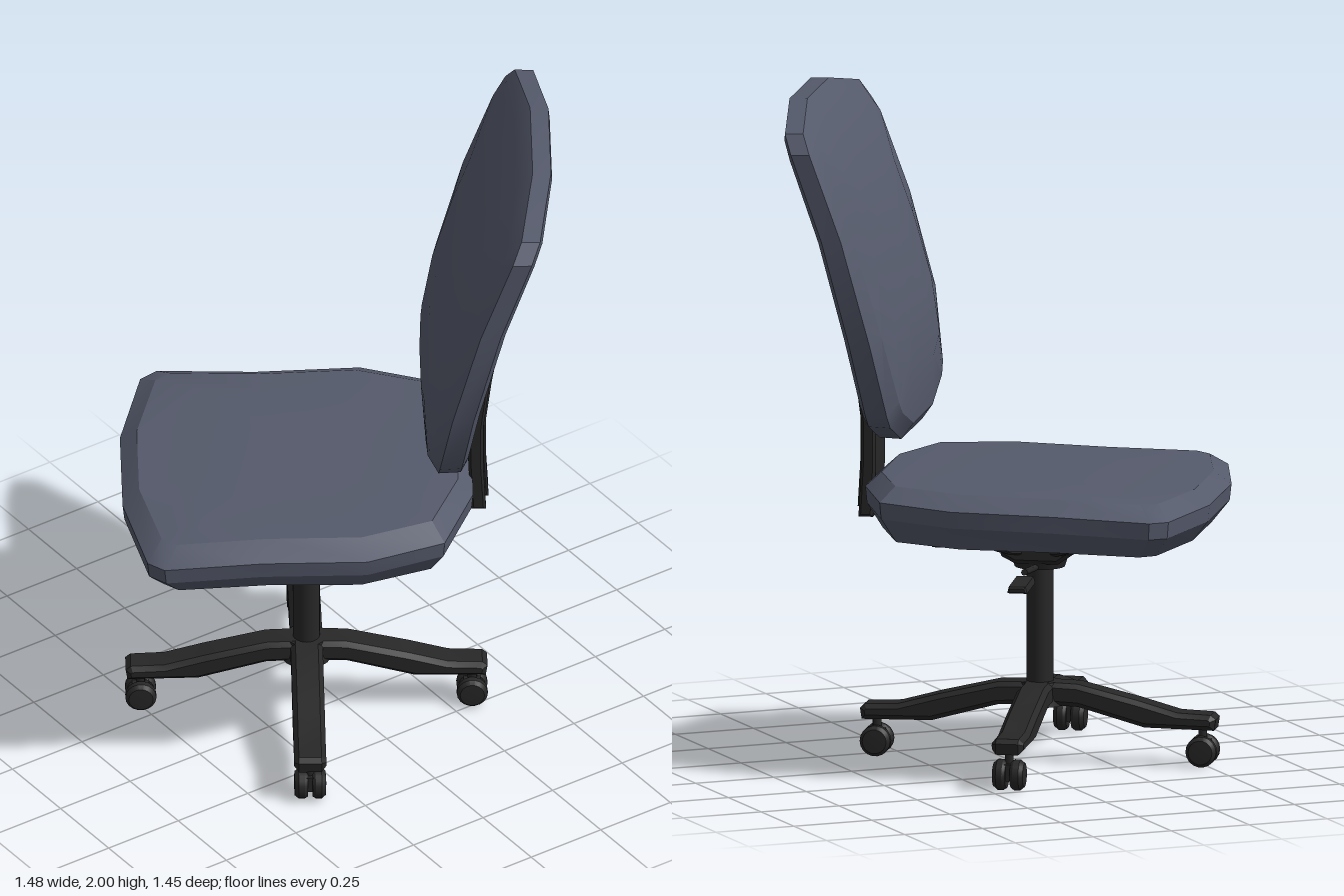
import * as THREE from 'three';
import { toCreasedNormals } from 'three/addons/utils/BufferGeometryUtils.js';

const fabric = new THREE.MeshStandardMaterial({ color: 0x555a6b });
const plastic = new THREE.MeshStandardMaterial({ color: 0x272727 });

function add(parent, name, geometry, material, x = 0, y = 0, z = 0) {
  const mesh = new THREE.Mesh(geometry, material);
  mesh.name = name;
  mesh.position.set(x, y, z);
  parent.add(mesh);
  return mesh;
}

// Padded cushion: a mirrored outline scaled into rings [scaleU, scaleV, height],
// from the centre of one face, over the rim, to the centre of the other.
function cushion(half, rings, place) {
  const outline = [...half, ...half.map(([u, v]) => [-u, v]).reverse()];
  const n = outline.length, pos = [], index = [];
  for (const [su, sv, h] of rings)
    for (const [u, v] of outline) pos.push(...place(u * su, v * sv, h));
  for (let r = 0; r < rings.length - 1; r++)
    for (let i = 0; i < n; i++) {
      const j = (i + 1) % n;
      const a = r * n + i, b = r * n + j, c = a + n, d = b + n;
      if (rings[r + 1][0] > 0) index.push(a, c, d);
      if (rings[r][0] > 0) index.push(a, d, b);
    }
  const g = new THREE.BufferGeometry();
  g.setAttribute('position', new THREE.Float32BufferAttribute(pos, 3));
  g.setIndex(index);
  return toCreasedNormals(g, 0.45);
}

// Side profile given as [z, y], extruded to a width centred on x = 0.
function slab(points, width, bevel) {
  const shape = new THREE.Shape(points.map(([z, y]) => new THREE.Vector2(z, y)));
  const g = new THREE.ExtrudeGeometry(shape, {
    depth: width - 2 * bevel, bevelSize: bevel, bevelThickness: bevel,
    bevelOffset: -bevel, bevelSegments: 1,
  });
  g.translate(0, 0, -width / 2 + bevel);
  g.rotateY(-Math.PI / 2);
  return toCreasedNormals(g, 0.4);
}

// Closed band around a centre line [z, y].
function band(line, front, back) {
  return [...line.map(([z, y]) => [z + front, y]),
    ...line.map(([z, y]) => [z - back, y]).reverse()];
}

export function createModel() {
  const model = new THREE.Group();
  model.name = 'officeChair';
  const chair = new THREE.Group();
  chair.name = 'chair';
  chair.position.set(-0.085, 0, -0.045);
  chair.rotation.y = THREE.MathUtils.degToRad(-123.4);
  model.add(chair);

  // Seat, slightly raised to the rear
  const seatOutline = [[0.176, -0.547], [0.48, -0.48], [0.52, -0.43], [0.5, -0.14],
    [0.507, 0.17], [0.42, 0.4], [0.17, 0.49]];
  add(chair, 'seat', cushion(seatOutline, [
    [0, 0, 0.883], [0.35, 0.35, 0.882], [0.65, 0.68, 0.88], [0.86, 0.91, 0.873],
    [1, 1, 0.832], [0.99, 0.99, 0.782], [0.88, 0.9, 0.712], [0.5, 0.5, 0.7], [0, 0, 0.7],
  ], (u, v, h) => [u, h + 0.02 * v * (h > 0.75 ? 1 : 0.3), -v]), fabric, -0.018);

  // Backrest: leans back, sides wrap forward, fuller in the lower front
  const mid = 1.5;
  const backOutline = [[0.17, -0.515], [0.35, -0.45], [0.39, -0.41], [0.48, -0.18],
    [0.495, 0.13], [0.495, 0.39], [0.45, 0.445], [0.17, 0.5]];
  add(chair, 'backrest', cushion(backOutline, [
    [0, 0, 0.11], [0.3, 0.3, 0.109], [0.6, 0.6, 0.1], [0.9, 0.91, 0.062],
    [1, 1, 0.027], [0.995, 0.995, -0.035], [0.93, 0.94, -0.05], [0.6, 0.6, -0.052],
    [0.3, 0.3, -0.052], [0, 0, -0.052],
  ], (u, v, h) => {
    const t = v + mid - 0.985;
    const lean = -0.395 - 0.1 * t - 0.165 * t * t;
    const wrap = -0.022 * (1 - (u / 0.5) ** 2);
    const fullness = h > 0 ? 1.15 - 0.4 * t : 1;
    return [u, v + mid, lean + wrap + h * fullness];
  }), fabric, -0.008);

  // Back post with a raised panel on its rear
  const postLine = [[-0.51, 0.73], [-0.502, 0.88], [-0.502, 1.02], [-0.52, 1.17],
    [-0.545, 1.32], [-0.572, 1.45], [-0.595, 1.56]];
  add(chair, 'backPost', slab(band(postLine, 0.024, 0.02), 0.165, 0.008), plastic, -0.01);
  const panelLine = postLine.map(([z, y]) => [z, 0.755 + (y - 0.73) * 0.94]);
  add(chair, 'backPostPanel', slab(band(panelLine, 0, 0.028), 0.1, 0.006), plastic, -0.01);

  // Seat mechanism: housing, hub and four splayed arms with pads
  add(chair, 'mechanismHousing', slab([[-0.13, 0.705], [-0.1, 0.625], [-0.06, 0.605],
    [0.07, 0.605], [0.12, 0.64], [0.15, 0.705]], 0.19, 0.012), plastic);
  add(chair, 'mechanismHub', new THREE.CylinderGeometry(0.085, 0.075, 0.03, 20), plastic, 0, 0.6, 0);
  for (const x of [-1, 1]) for (const z of [0.26, -0.22]) {
    const length = Math.hypot(0.25, z);
    const arm = add(chair, 'mechanismArm', slab([[0.04, 0.625], [0.13, 0.635], [length - 0.05, 0.69],
      [length + 0.03, 0.69], [length + 0.03, 0.712], [length - 0.08, 0.712], [0.04, 0.67]], 0.07, 0.006), plastic);
    arm.rotation.y = Math.atan2(x * 0.25, z);
    add(chair, 'mechanismPad', new THREE.BoxGeometry(0.09, 0.024, 0.1), plastic, x * 0.25, 0.697, z);
  }

  // Height lever on one side
  const rod = add(chair, 'leverRod', new THREE.CylinderGeometry(0.01, 0.01, 0.2, 8), plastic, -0.15, 0.6, 0);
  rod.rotation.z = Math.PI / 2 - 0.1;
  const paddle = add(chair, 'leverPaddle', slab([[-0.03, -0.008], [0.03, -0.008],
    [0.025, 0.012], [-0.025, 0.012]], 0.14, 0.005), plastic, -0.3, 0.58, 0);
  paddle.rotation.z = 0.07;

  // Gas column
  add(chair, 'column', new THREE.CylinderGeometry(0.04, 0.04, 0.42, 24), plastic, 0, 0.4, 0);

  // Four-armed base with twin-wheel castors
  add(chair, 'baseHub', new THREE.CylinderGeometry(0.06, 0.075, 0.07, 20), plastic, 0, 0.205, 0);
  for (let i = 0; i < 4; i++) {
    const leg = new THREE.Group();
    leg.name = 'baseLeg';
    leg.rotation.y = i * Math.PI / 2;
    chair.add(leg);
    add(leg, 'legArm', slab([[0, 0.175], [0.12, 0.17], [0.32, 0.115], [0.53, 0.112],
      [0.535, 0.145], [0.52, 0.158], [0.42, 0.162], [0.3, 0.195], [0.12, 0.238], [0, 0.242]],
    0.095, 0.014), plastic);
    add(leg, 'castorStem', new THREE.CylinderGeometry(0.013, 0.013, 0.08, 10), plastic, 0, 0.09, 0.49);
    add(leg, 'castorBody', new THREE.BoxGeometry(0.03, 0.05, 0.05), plastic, 0, 0.055, 0.49);
    for (const s of [-1, 1]) {
      const profile = [[0, -0.019], [0.04, -0.019], [0.046, -0.01], [0.046, 0.008], [0.036, 0.02], [0, 0.022]]
        .map(([r, h]) => new THREE.Vector2(r, h));
      const g = toCreasedNormals(new THREE.LatheGeometry(profile, 18), 0.5);
      const wheel = add(leg, 'castorWheel', g, plastic, s * 0.026, 0.046, 0.49);
      wheel.rotation.z = -s * Math.PI / 2;
    }
  }
  return model;
}
